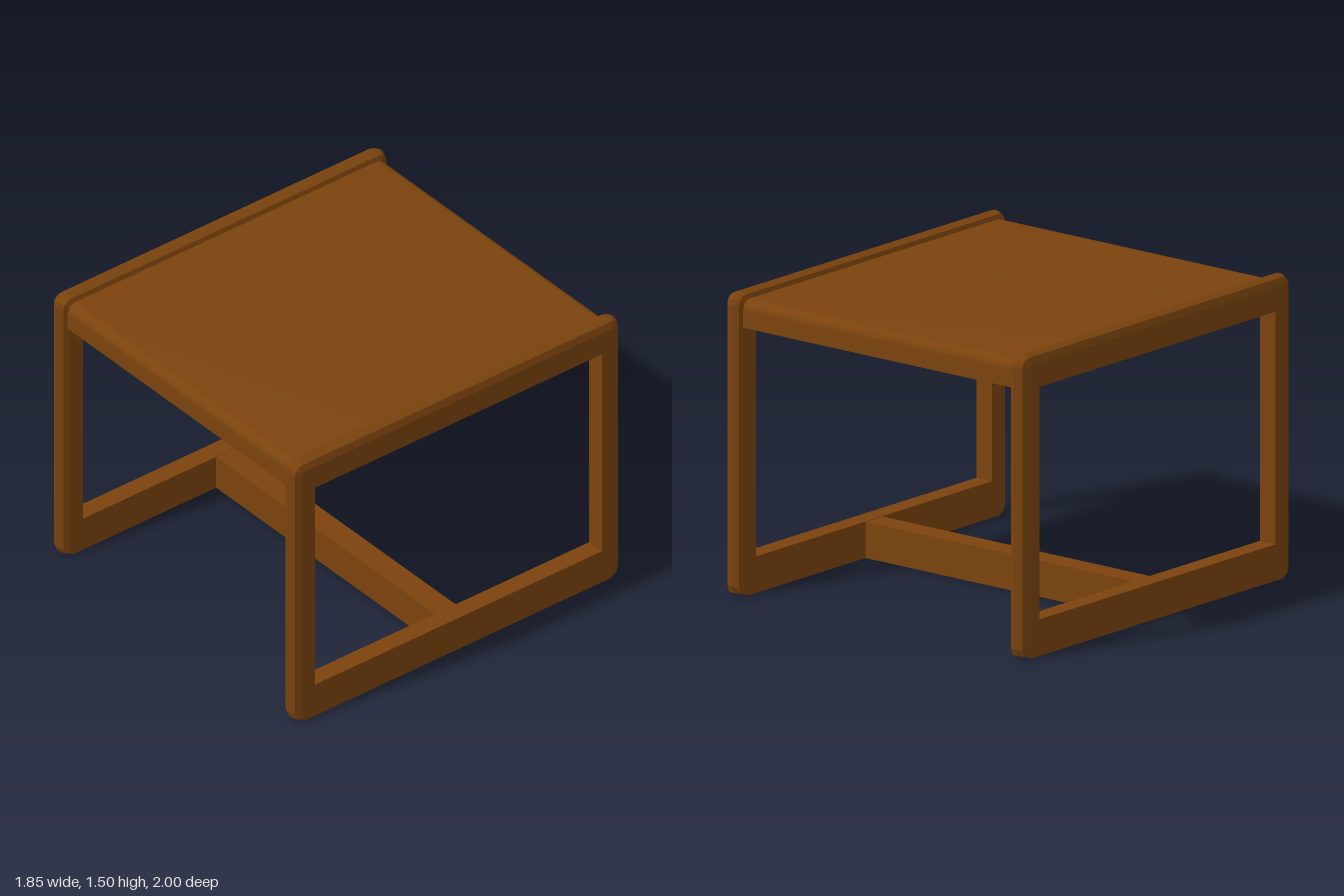
import * as THREE from 'three';
import { mergeGeometries, toCreasedNormals } from 'three/addons/utils/BufferGeometryUtils.js';

const HALF = 0.048; // half thickness of a side frame

// Right half of the frame outline, mirrored to a closed counter-clockwise loop; d is the inset
function outline(d) {
  const r = 0.06 - d;
  const half = [[0.94 - 0.2 * d, 0], [0.985 - 0.7 * d, 0.015], [1 - d, 0.05]];
  for (let i = 0; i <= 3; i++) {
    const a = (i / 3) * Math.PI / 2;
    half.push([0.94 + r * Math.cos(a), 1.435 + r * Math.sin(a)]);
  }
  return [...half, ...half.map(([x, y]) => [-x, y]).reverse()];
}

// Skin between successive loops of equal length
function loft(rings) {
  const pos = [];
  for (let k = 0; k < rings.length - 1; k++) {
    const lo = rings[k], hi = rings[k + 1], n = lo.pts.length;
    for (let i = 0; i < n; i++) {
      const j = (i + 1) % n;
      const a = [...lo.pts[i], lo.z], b = [...lo.pts[j], lo.z];
      const c = [...hi.pts[j], hi.z], e = [...hi.pts[i], hi.z];
      pos.push(...a, ...b, ...c, ...a, ...c, ...e);
    }
  }
  const g = new THREE.BufferGeometry();
  g.setAttribute('position', new THREE.Float32BufferAttribute(pos, 3));
  g.computeVertexNormals();
  return g;
}

// Closed rectangular frame with a bullnose outer edge
function frameGeometry() {
  const profile = [[-HALF, 0.05], [-0.036, 0.015], [0, 0], [0.036, 0.015], [HALF, 0.05]];
  const edge = loft(profile.map(([z, d]) => ({ pts: outline(d), z })));

  const hole = [[-0.875, 0.18], [-0.875, 1.325], [0.875, 1.325], [0.875, 0.18]];
  const inside = loft([{ pts: hole, z: -HALF }, { pts: hole, z: HALF }]);

  const toVec = ([x, y]) => new THREE.Vector2(x, y);
  const shape = new THREE.Shape(outline(0.05).map(toVec));
  shape.holes.push(new THREE.Path(hole.map(toVec)));
  const face = new THREE.ShapeGeometry(shape).toNonIndexed();
  face.deleteAttribute('uv');
  face.translate(0, 0, HALF);
  const back = face.clone().rotateY(Math.PI);

  return mergeGeometries([edge, inside, face, back]).rotateY(Math.PI / 2);
}

// Slab with rounded upper front and back edges
function topGeometry() {
  const s = new THREE.Shape();
  const z = 0.967, y = 1.46, r = 0.05;
  s.moveTo(-z, 1.325);
  s.lineTo(z, 1.325);
  s.lineTo(z, y - r);
  s.absarc(z - r, y - r, r, 0, Math.PI / 2, false);
  s.lineTo(-z + r, y);
  s.absarc(-z + r, y - r, r, Math.PI / 2, Math.PI, false);
  s.closePath();
  const g = new THREE.ExtrudeGeometry(s, { depth: 1.66, bevelEnabled: false, curveSegments: 5 });
  g.translate(0, 0, -0.83).rotateY(Math.PI / 2);
  return toCreasedNormals(g, 0.6);
}

export function createModel() {
  const group = new THREE.Group();
  group.name = 'sideTable';
  const wood = new THREE.MeshStandardMaterial({ color: 0x7b430d });
  wood.name = 'brownWood';

  const add = (name, geometry, x = 0, y = 0) => {
    const mesh = new THREE.Mesh(geometry, wood);
    mesh.name = name;
    mesh.position.set(x, y, 0);
    group.add(mesh);
  };

  // Two matching side frames
  const frame = frameGeometry();
  add('leftFrame', frame, 0.877);
  add('rightFrame', frame, -0.877);

  // Table top and the low stretcher joining the frames
  add('tableTop', topGeometry());
  add('stretcher', new THREE.BoxGeometry(1.66, 0.178, 0.125), 0, 0.089);

  return group;
}
